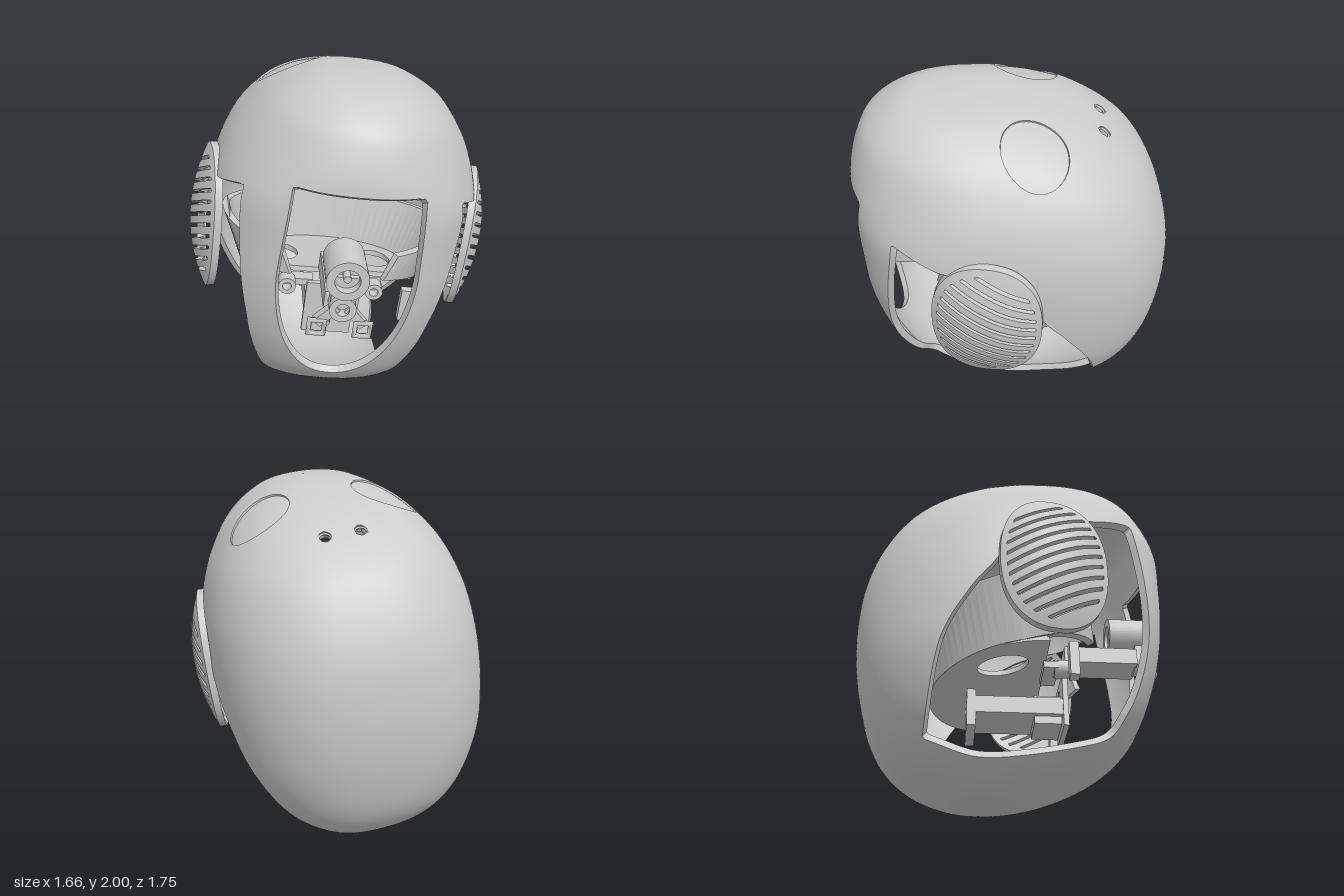
import * as THREE from 'three';
import { mergeVertices, mergeGeometries } from 'three/addons/utils/BufferGeometryUtils.js';

const material = new THREE.MeshStandardMaterial({ color: 0xcccccc });
const { abs, max, min, sin, cos, sign, hypot, PI } = Math;
const { smoothstep, clamp } = THREE.MathUtils;

function add(parent, geometry, name, pos = [0, 0, 0], rot = [0, 0, 0]) {
  const mesh = new THREE.Mesh(geometry, material);
  mesh.name = name;
  mesh.position.set(...pos);
  mesh.rotation.set(...rot);
  parent.add(mesh);
  return mesh;
}

// Thick skin over surface(u, v, inner), trimmed cleanly where keep(point) < 0, with rim walls.
function trimmedSkin(surface, keep, nu, nv) {
  const outer = [], inner = [], rim = [];
  const vert = (u, v) => {
    const p = surface(u, v, false);
    return { u, v, p, q: surface(u, v, true), f: keep(p) };
  };
  const tri = (list, a, b, c) => [a, b, c].forEach(p => list.push(p.x, p.y, p.z));
  const clip = (t) => {
    const poly = [];
    let exit = null, enter = null;
    t.forEach((a, i) => {
      const b = t[(i + 1) % 3];
      if (a.f >= 0) poly.push(a);
      if ((a.f >= 0) === (b.f >= 0)) return;
      const k = a.f / (a.f - b.f);
      const cut = vert(a.u + (b.u - a.u) * k, a.v + (b.v - a.v) * k);
      poly.push(cut);
      if (a.f >= 0) exit = cut; else enter = cut;
    });
    for (let i = 1; i + 1 < poly.length; i++) {
      tri(outer, poly[0].p, poly[i].p, poly[i + 1].p);
      tri(inner, poly[0].q, poly[i + 1].q, poly[i].q);
    }
    if (exit) {
      tri(rim, enter.p, exit.p, exit.q);
      tri(rim, enter.p, exit.q, enter.q);
    }
  };
  const grid = [];
  for (let j = 0; j <= nv; j++) {
    grid.push([]);
    for (let i = 0; i <= nu; i++) grid[j].push(vert(i / nu, j / nv));
  }
  for (let j = 0; j < nv; j++) for (let i = 0; i < nu; i++) {
    const a = grid[j][i], b = grid[j + 1][i], c = grid[j + 1][i + 1], d = grid[j][i + 1];
    clip([a, b, c]);
    clip([a, c, d]);
  }
  const toGeometry = (list, smooth) => {
    let g = new THREE.BufferGeometry();
    g.setAttribute('position', new THREE.Float32BufferAttribute(list, 3));
    if (smooth) g = mergeVertices(g, 1e-4);
    g.computeVertexNormals();
    return smooth ? g.toNonIndexed() : g;
  };
  return mergeGeometries([toGeometry(outer, true), toGeometry(inner, true), toGeometry(rim, false)]);
}

// Head sections from crown to chin: height, front z, back z, half width
const sections = [
  [1, .3, .3, 0], [.98, .55, .05, .2], [.93, .67, -.15, .33], [.85, .77, -.36, .45], [.75, .825, -.52, .545],
  [.6, .87, -.68, .64], [.4, .885, -.79, .71], [.2, .88, -.85, .74], [0, .87, -.87, .75], [-.2, .84, -.865, .74],
  [-.4, .78, -.835, .71], [-.6, .68, -.78, .63], [-.75, .53, -.7, .53], [-.87, .33, -.58, .4],
  [-.95, .12, -.43, .27], [-.99, -.05, -.32, .14], [-1, -.2, -.2, 0]];
const spline = (f) => new THREE.CatmullRomCurve3(sections.map(f), false, 'catmullrom');
const sideProfile = spline(s => new THREE.Vector3(s[1], s[0], s[2]));
const widthProfile = spline(s => new THREE.Vector3(s[3], s[0], 0));
const pow = (t, e) => sign(t) * abs(t) ** e;

function headSurface(u, v, inner) {
  const s = sideProfile.getPoint(v), w = max(0, widthProfile.getPoint(v).x), a = u * 2 * PI;
  // The brow is rounder than the rest
  const e = cos(a) > 0 ? .8 + .12 * smoothstep(s.y, .4, .7) : .8;
  return new THREE.Vector3(w * pow(sin(a), e), s.y, (s.x + s.z) / 2 + (s.x - s.z) / 2 * pow(cos(a), e))
    .multiplyScalar(inner ? .955 : 1);
}

// Side window outline in (z, y)
const v2 = (a) => a.map(([x, y]) => new THREE.Vector2(x, y));
const sideWindow = new THREE.Shape().moveTo(.645, .475)
  .splineThru(v2([[.685, .2], [.705, -.05], [.7, -.25], [.655, -.45], [.58, -.62], [.455, -.755], [.14, -.86], [-.2, -.89], [-.47, -.81]]))
  .splineThru(v2([[-.4, -.4], [-.25, -.12], [-.13, .04], [0, .25], [.2, .35], [.42, .39]]))
  .getPoints(6);

// Signed distance to a closed outline, negative inside
function outlineDistance(poly, x, y) {
  let d = 1e9, inside = false;
  for (let i = 0, j = poly.length - 1; i < poly.length; j = i++) {
    const a = poly[i], b = poly[j], ex = b.x - a.x, ey = b.y - a.y;
    const k = clamp(((x - a.x) * ex + (y - a.y) * ey) / (ex * ex + ey * ey || 1), 0, 1);
    d = min(d, hypot(x - a.x - ex * k, y - a.y - ey * k));
    if ((a.y > y) !== (b.y > y) && x < a.x + ex * (y - a.y) / ey) inside = !inside;
  }
  return inside ? -d : d;
}

const faceOpening = (p) => p.z < 0 ? 1 : max(p.y - .56, p.y > .1
  ? abs(p.x) - .355 + .067 * (p.y - .1)
  : .37 * (hypot(p.x / .355, (p.y - .1) / .69) - 1));
const crownDisc = (p) => p.y < .3 ? 1 : hypot(abs(p.x) - .35, p.z + .08) - .17;
const crownHole = (p) => p.y < .3 ? 1 : hypot(abs(p.x) - .095, p.z + .46) - .033;
const keepShell = (p) => min(faceOpening(p), outlineDistance(sideWindow, p.z, p.y), crownDisc(p), crownHole(p));

// Domed ear cover with slanted slots
const earRadius = (y, z) => (abs(z / .29) ** 2.3 + abs(y / .41) ** 2.3) ** (1 / 2.3);
function earSurface(u, v, inner) {
  const z = .3 * (1 - 2 * u), y = .42 * (1 - 2 * v);
  return new THREE.Vector3(.09 * (1 - min(earRadius(y, z), 1) ** 2) - (inner ? .04 : 0), y, z);
}
function keepEar(p) {
  const edge = .3 * (earRadius(p.y, p.z) - 1);
  const q = .88 * p.y - .47 * p.z, pitch = .06;
  const slot = abs(q) > .345 ? 1 : abs(q - Math.round(q / pitch) * pitch) - .0095;
  return min(-edge, max(slot, edge + .03));
}

const box = (w, h, d) => new THREE.BoxGeometry(w, h, d);
const drum = (r, h) => new THREE.CylinderGeometry(r, r, h, 32);
function extrude(shape, depth) {
  return new THREE.ExtrudeGeometry(shape, { depth, bevelEnabled: false, curveSegments: 32 });
}
function ring(outer, inner, depth) {
  const s = new THREE.Shape().absarc(0, 0, outer, 0, 2 * PI);
  s.holes.push(new THREE.Path().absarc(0, 0, inner, 0, 2 * PI, true));
  return extrude(s, depth);
}

function buildTray() {
  const tray = new THREE.Group();
  tray.name = 'innerTray';
  // U-shaped wall whose arms curve round to the front, narrower towards the floor
  const height = .34;
  const wall = new THREE.Shape().absellipse(0, 0, .65, .5, -1.05, PI + 1.05, false);
  wall.absellipse(0, 0, .61, .46, PI + 1.05, -1.05, true);
  const wallGeometry = extrude(wall, height).rotateX(-PI / 2);
  const pos = wallGeometry.attributes.position;
  for (let i = 0; i < pos.count; i++) {
    // Arms rise and thin out towards the front
    const t = pos.getY(i) / height, z = max(0, pos.getZ(i));
    pos.setX(i, pos.getX(i) * (.8 + .2 * t));
    pos.setY(i, t * height + z * (.2 - .45 * t));
  }
  wallGeometry.computeVertexNormals();
  add(tray, wallGeometry, 'trayWall');
  const floor = new THREE.Shape().absellipse(0, 0, .5, .47, -.3, PI + .3, false);
  for (const s of [-1, 1])
    floor.holes.push(new THREE.Path().absellipse(s * .28, .1, .1, .14, 0, 2 * PI, true));
  add(tray, extrude(floor, .03).rotateX(-PI / 2), 'trayFloor');
  tray.position.set(0, -.29, .04);
  tray.rotation.x = -.18;
  return tray;
}

function buildNoseMount() {
  const nose = new THREE.Group();
  nose.name = 'noseMount';
  add(nose, ring(.11, .065, .26), 'noseRing', [0, .08, .58]);
  add(nose, drum(.08, .16).rotateX(PI / 2), 'noseCore', [0, .08, .68]);
  add(nose, drum(.02, .08).rotateX(PI / 2), 'noseScrew', [0, .08, .78]);
  add(nose, box(.13, .19, .06), 'noseStem', [0, -.02, .76]);
  add(nose, ring(.07, .035, .1), 'lowerBoss', [0, -.1, .72]);
  add(nose, box(.18, .1, .42), 'supportBeam', [0, -.1, .52]);
  for (const s of [-1, 1]) {
    add(nose, box(.05, .14, .05), 'clipLeg', [s * .075, -.15, .78], [0, 0, s * .75]);
    add(nose, new THREE.TorusGeometry(.055, .018, 6, 4).rotateZ(PI / 4), 'clip', [s * .12, -.22, .8]);
  }
  return nose;
}

function buildLowerBracket() {
  const bracket = new THREE.Group();
  bracket.name = 'lowerBracket';
  const slot = new THREE.Shape().moveTo(-.14, -.16).lineTo(.14, -.16).lineTo(.14, .16).lineTo(-.14, .16);
  slot.holes.push(new THREE.Path().absarc(0, .1, .02, 0, PI).absarc(0, -.1, .02, PI, 2 * PI));
  add(bracket, extrude(slot, .03), 'slottedPlate', [0, -.42, .28]);
  add(bracket, box(.26, .1, .5), 'bracketBody', [0, -.46, .04]);
  add(bracket, box(.26, .22, .05), 'rearPost', [0, -.48, -.22]);
  add(bracket, box(.2, .17, .15), 'bracketBlock', [0, -.47, .2]);
  for (const s of [-1, 1]) {
    add(bracket, box(.07, .2, .05), 'frontPost', [s * .44, -.36, .3]);
    add(bracket, ring(.05, .025, .08), 'screwBoss', [s * .25, -.3, .22]);
    add(bracket, box(.2, .04, .08), 'bossArm', [s * .2, -.3, .2]);
  }
  return bracket;
}

export function createModel() {
  const model = new THREE.Group();
  const head = new THREE.Group();
  head.name = 'head';
  head.position.y = 1;
  head.rotation.z = -.131; // the head leans to its left
  model.add(head);

  add(head, trimmedSkin(headSurface, keepShell, 160, 120), 'shell');
  const sunkSurface = (u, v, inner) => headSurface(u, v, inner).multiplyScalar(.99);
  add(head, trimmedSkin(sunkSurface, p => -crownDisc(p) + .006, 160, 120), 'crownInsets');

  const earGeometry = trimmedSkin(earSurface, keepEar, 56, 84);
  for (const s of [-1, 1]) {
    const ear = new THREE.Group();
    ear.name = s > 0 ? 'leftEar' : 'rightEar';
    add(ear, earGeometry, 'earCover', [.73, .055, .18], [0, -.17, 0]);
    ear.scale.x = s;
    head.add(ear);
    add(head, new THREE.TorusGeometry(.032, .006, 8, 24), 'holeRim', [s * .095, .782, -.455], [-PI / 2 - .55, 0, 0]);
  }

  head.add(buildTray(), buildNoseMount(), buildLowerBracket());

  // Slotted socket high on the inner back wall
  const socket = new THREE.Shape().moveTo(-.16, -.045).lineTo(.16, -.045).lineTo(.16, .045).lineTo(-.16, .045);
  for (const s of [-1, 1])
    socket.holes.push(new THREE.Path().absarc(s * .08, 0, .02, 0, 2 * PI, true));
  add(head, extrude(socket, .08), 'backSocket', [0, .48, -.69]);
  return model;
}
